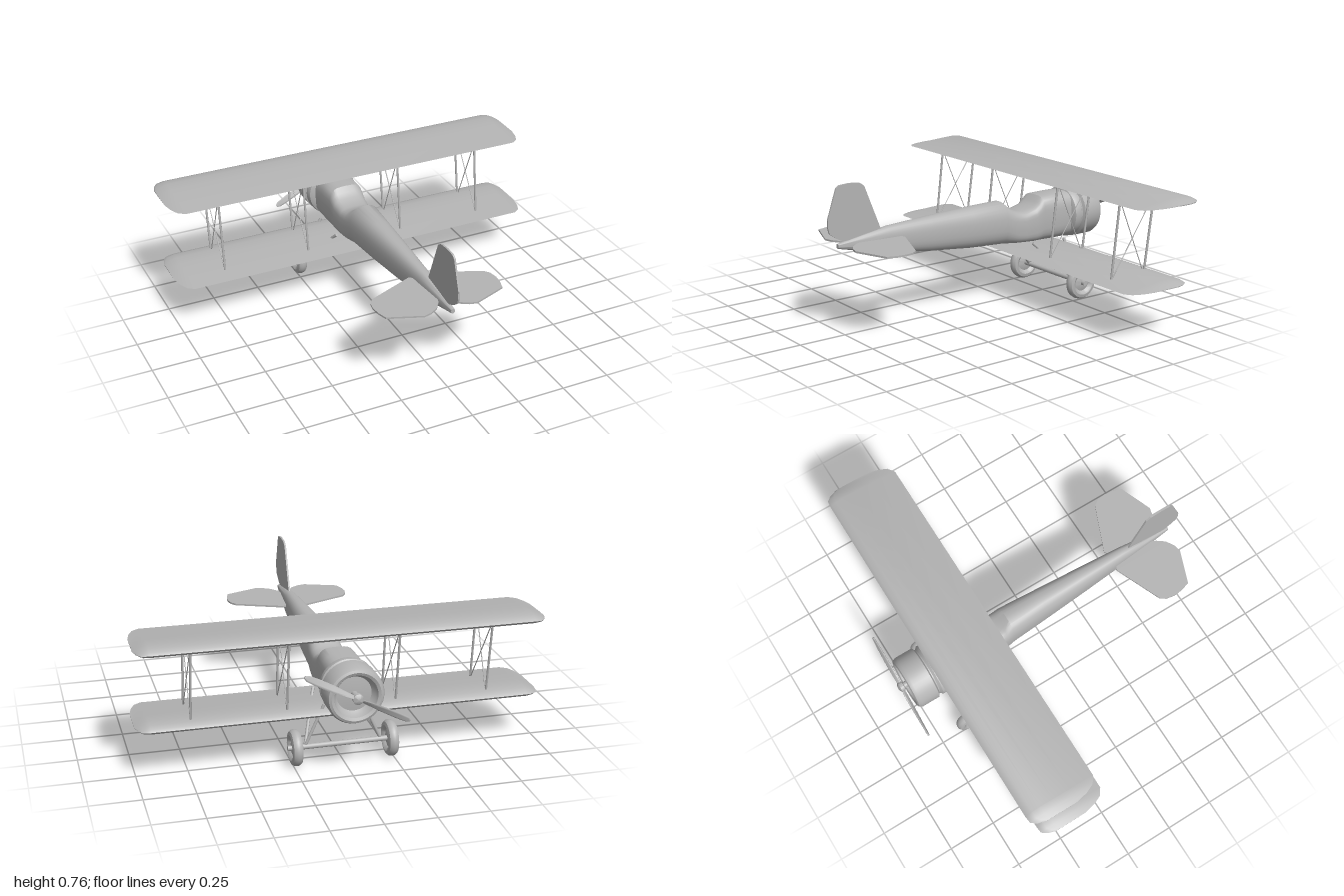
import * as THREE from 'three';
import { toCreasedNormals } from 'three/addons/utils/BufferGeometryUtils.js';

const V = (x, y, z) => new THREE.Vector3(x, y, z);
const grey = new THREE.MeshStandardMaterial({ color: 0xb4b4b4, side: THREE.DoubleSide });
grey.name = 'plain grey';

// Skin a row of equal-length rings and close both ends
function loft(rings, crease = 0.7) {
  const n = rings[0].length, pos = [], idx = [];
  rings.forEach(r => r.forEach(p => pos.push(p.x, p.y, p.z)));
  for (let i = 0; i < rings.length - 1; i++) {
    for (let j = 0; j < n; j++) {
      const a = i * n + j, b = i * n + (j + 1) % n;
      idx.push(a, b, a + n, b, b + n, a + n);
    }
  }
  const last = (rings.length - 1) * n;
  for (let j = 1; j < n - 1; j++) idx.push(0, j + 1, j, last, last + j, last + j + 1);
  const g = new THREE.BufferGeometry();
  g.setAttribute('position', new THREE.Float32BufferAttribute(pos, 3));
  g.setIndex(idx);
  return toCreasedNormals(g, crease);
}

function add(parent, name, geometry) {
  const mesh = new THREE.Mesh(geometry, grey);
  mesh.name = name;
  parent.add(mesh);
  return mesh;
}

// Round bar between two points
function rod(parent, name, a, b, r, sides = 8) {
  const d = b.clone().sub(a);
  const m = add(parent, name, new THREE.CylinderGeometry(r, r, d.length(), sides));
  m.position.copy(a).add(b).multiplyScalar(0.5);
  m.quaternion.setFromUnitVectors(V(0, 1, 0), d.normalize());
  return m;
}

const lathe = (pts, seg = 32) =>
  toCreasedNormals(new THREE.LatheGeometry(pts.map(p => new THREE.Vector2(...p)), seg), 0.6);

// Rounded-square body section
function bodyRing([z, w, bottom, top, power]) {
  return Array.from({ length: 32 }, (_, i) => {
    const t = i / 32 * Math.PI * 2, c = Math.cos(t), s = Math.sin(t), e = 2 / power;
    return V(w * Math.sign(c) * Math.abs(c) ** e,
      (top + bottom) / 2 + (top - bottom) / 2 * Math.sign(s) * Math.abs(s) ** e, z);
  });
}

// Cambered wing with pinched, cut-back tips
function wing(le, te, y) {
  const upper = [[0, 0], [0.03, 0.012], [0.1, 0.022], [0.22, 0.027], [0.4, 0.024], [0.65, 0.014], [1, 0]];
  const lower = [[0.8, -0.008], [0.5, -0.017], [0.25, -0.024], [0.1, -0.022], [0.03, -0.012]];
  // x, leading inset, trailing inset, thickness
  const half = [[0.93, 0, 0, 1], [0.965, 0.004, 0.025, 0.6], [0.985, 0.03, 0.07, 0.3], [0.998, 0.07, 0.13, 0.08]];
  const stations = [...half.slice().reverse().map(([x, ...r]) => [-x, ...r]), ...half];
  return loft(stations.map(([x, a, b, k]) => [...upper, ...lower].map(([u, h]) =>
    V(x, y + h * k, le + a + u * (te - b - le - a)))), 0.8);
}

// Thin plate from a smooth-cornered outline
function plate(pts, depth) {
  const s = new THREE.Shape(pts.map(p => new THREE.Vector2(...p)));
  return new THREE.ExtrudeGeometry(s, { depth, bevelEnabled: false }).translate(0, 0, -depth / 2);
}

export function createModel() {
  const model = new THREE.Group();
  model.name = 'biplane';

  // Fuselage with cockpit cut: z, half width, bottom, top, squareness
  add(model, 'fuselage', loft([
    [-0.63, 0.105, 0.295, 0.54, 3], [-0.53, 0.1, 0.295, 0.54, 3.4], [-0.434, 0.096, 0.298, 0.538, 3.6],
    [-0.41, 0.095, 0.3, 0.512, 4], [-0.385, 0.094, 0.3, 0.49, 4], [-0.318, 0.09, 0.304, 0.472, 4],
    [-0.27, 0.088, 0.306, 0.482, 3.6], [-0.233, 0.087, 0.308, 0.503, 3], [-0.197, 0.085, 0.31, 0.535, 2.6],
    [0, 0.072, 0.32, 0.533, 2.5], [0.25, 0.055, 0.345, 0.524, 2.5], [0.497, 0.037, 0.376, 0.512, 2.5],
    [0.64, 0.024, 0.408, 0.49, 2.5], [0.78, 0.01, 0.442, 0.466, 2.5],
  ].map(bodyRing)));

  // Engine cowling, nose pointing to -z
  const engine = new THREE.Group();
  engine.name = 'engine';
  engine.position.set(0, 0.42, 0);
  model.add(engine);
  add(engine, 'cowling', lathe([[0, 0.6], [0.115, 0.605], [0.132, 0.615], [0.137, 0.63], [0.137, 0.65],
    [0.125, 0.662], [0.125, 0.667], [0.14, 0.675], [0.14, 0.77], [0.132, 0.787], [0.12, 0.792], [0.106, 0.786],
    [0.1, 0.765], [0.085, 0.745], [0.04, 0.75], [0, 0.75]], 40).rotateX(-Math.PI / 2));
  add(engine, 'propellerHub', lathe([[0.016, 0.73], [0.016, 0.8], [0.026, 0.803], [0.026, 0.822],
    [0.014, 0.83], [0, 0.832]], 20).rotateX(-Math.PI / 2));

  // Twisted two-blade propeller
  const propeller = new THREE.Group();
  propeller.name = 'propeller';
  propeller.position.z = -0.815;
  propeller.rotation.z = 0.485;
  engine.add(propeller);
  const bladeGeometry = loft([[0.01, 0.01, 0.9], [0.06, 0.014, 0.7], [0.13, 0.018, 0.5],
    [0.22, 0.018, 0.35], [0.268, 0.015, 0.28], [0.286, 0.007, 0.25]].map(([x, w, twist]) =>
    Array.from({ length: 12 }, (_, i) => {
      const t = i / 12 * Math.PI * 2, a = w * Math.cos(t), b = 0.005 * Math.sin(t);
      return V(x, a * Math.cos(twist) - b * Math.sin(twist), a * Math.sin(twist) + b * Math.cos(twist));
    })));
  for (const turn of [0, Math.PI]) add(propeller, 'blade', bladeGeometry).rotation.z = turn;

  // Staggered wings
  add(model, 'upperWing', wing(-0.66, -0.285, 0.662));
  add(model, 'lowerWing', wing(-0.6, -0.225, 0.26));

  // Wing struts and crossed bracing wires
  for (const x of [-0.735, -0.27, 0.27, 0.735]) {
    const bay = new THREE.Group();
    bay.name = 'strutBay';
    model.add(bay);
    const frontTop = V(x, 0.66, -0.592), frontLow = V(x, 0.26, -0.538);
    const rearTop = V(x, 0.66, -0.367), rearLow = V(x, 0.26, -0.322);
    rod(bay, 'frontStrut', frontTop, frontLow, 0.006);
    rod(bay, 'rearStrut', rearTop, rearLow, 0.006);
    rod(bay, 'bracingWire', frontTop, rearLow, 0.0025, 6);
    rod(bay, 'bracingWire', rearTop, frontLow, 0.0025, 6);
  }

  // Landing gear
  const gear = new THREE.Group();
  gear.name = 'landingGear';
  model.add(gear);
  const wheelY = 0.09, wheelZ = -0.562;
  rod(gear, 'axle', V(-0.275, wheelY, wheelZ), V(0.275, wheelY, wheelZ), 0.013, 16);
  const wheelGeometry = lathe([[0, -0.016], [0.022, -0.018], [0.045, -0.01], [0.052, -0.02], [0.064, -0.026],
    [0.08, -0.022], [0.088, -0.012], [0.09, 0], [0.088, 0.012], [0.08, 0.022], [0.064, 0.026], [0.052, 0.02],
    [0.045, 0.01], [0.022, 0.018], [0, 0.016]], 36).rotateZ(Math.PI / 2);
  for (const s of [-1, 1]) {
    add(gear, 'wheel', wheelGeometry).position.set(s * 0.238, wheelY, wheelZ);
    rod(gear, 'frontLeg', V(s * 0.19, wheelY, wheelZ), V(s * 0.095, 0.3, wheelZ), 0.008);
    rod(gear, 'rearLeg', V(s * 0.19, wheelY, wheelZ), V(s * 0.095, 0.305, -0.35), 0.008);
  }

  // Tail surfaces
  const tail = [[0, 0.46], [0.06, 0.43], [0.3, 0.53], [0.322, 0.56], [0.33, 0.605], [0.325, 0.65], [0.31, 0.7],
    [0.14, 0.765], [0.1, 0.755], [0.06, 0.73], [0.03, 0.69], [0, 0.62]];
  for (const s of [-1, 1]) {
    add(model, s > 0 ? 'leftTailplane' : 'rightTailplane',
      plate(tail.map(([x, z]) => [s * x, z]), 0.009).rotateX(Math.PI / 2)).position.y = 0.455;
  }
  const fin = [[0.5, 0.48], [0.535, 0.507], [0.625, 0.733], [0.65, 0.75], [0.71, 0.756], [0.765, 0.752],
    [0.782, 0.74], [0.832, 0.59], [0.832, 0.55], [0.823, 0.52], [0.79, 0.495], [0.75, 0.475]];
  add(model, 'fin', plate(fin.map(([z, y]) => [-z, y]), 0.009).rotateY(Math.PI / 2));

  return model;
}
